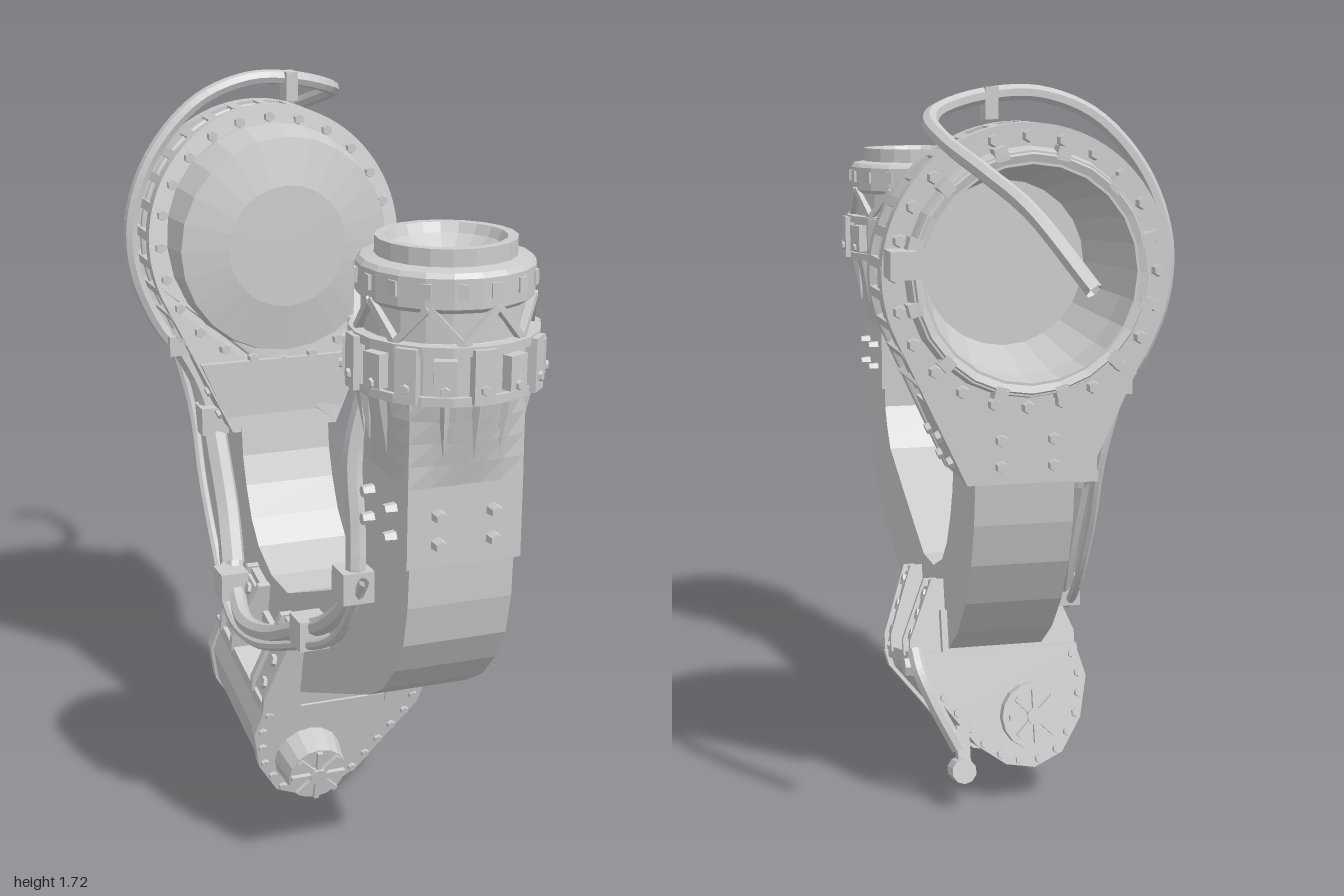
import * as THREE from 'three';

const mat = new THREE.MeshStandardMaterial({ color: 0xcccccc, flatShading: true, side: THREE.DoubleSide });
const CX = 0.015; // centre plane of the arm
const V = (x, y, z) => new THREE.Vector3(x, y, z);
const P = a => a.map(p => new THREE.Vector2(p[0], p[1]));

function add(parent, name, geo, x = 0, y = 0, z = 0) {
  const m = new THREE.Mesh(geo, mat);
  m.name = name;
  m.position.set(x, y, z);
  parent.add(m);
  return m;
}
function group(parent, name, x = 0, y = 0, z = 0) {
  const g = new THREE.Group();
  g.name = name;
  g.position.set(x, y, z);
  parent.add(g);
  return g;
}
const box = (parent, name, w, h, d, x, y, z) => add(parent, name, new THREE.BoxGeometry(w, h, d), x, y, z);
const extrude = (shape, depth) => new THREE.ExtrudeGeometry(shape, { depth, bevelEnabled: false, curveSegments: 28 });

// Hexagonal bolt head pointing along dir
function bolt(parent, pos, dir, r = 0.016, h = 0.03) {
  const m = add(parent, 'bolt', new THREE.CylinderGeometry(r * 0.8, r, h, 6), pos.x, pos.y, pos.z);
  m.quaternion.setFromUnitVectors(V(0, 1, 0), dir.clone().normalize());
}
function hose(parent, name, pts, r) {
  const curve = new THREE.CatmullRomCurve3(pts.map(p => V(...p)));
  add(parent, name, new THREE.TubeGeometry(curve, pts.length * 5, r, 7, false));
}

// Curved box-section arm, drawn in the (z, y) plane
function buildArm(root) {
  const outline = P([[0.91, 0.9], [0.905, 0.8], [0.885, 0.71], [0.84, 0.635], [0.78, 0.57], [0.7, 0.52], [0.27, 0.335],
    [0.18, 0.32], [0.08, 0.32], [-0.02, 0.35], [-0.12, 0.385], [-0.22, 0.455], [-0.3, 0.545], [-0.36, 0.65], [-0.39, 0.75],
    [-0.405, 0.87], [-0.18, 0.87], [-0.17, 0.79], [-0.145, 0.72], [-0.105, 0.645], [-0.05, 0.59], [0.05, 0.55], [0.17, 0.55],
    [0.4, 0.645], [0.61, 0.735], [0.655, 0.79], [0.68, 0.84], [0.68, 0.9]]);
  const arm = add(root, 'arm', extrude(new THREE.Shape(outline), 0.23), CX + 0.115);
  arm.rotation.y = -Math.PI / 2;
}

// Square-to-round loft between two heights
function squareToRound(h, r, y0, y1, n = 24, rows = 4) {
  const pos = [], idx = [];
  for (let j = 0; j <= rows; j++) for (let i = 0; i < n; i++) {
    const a = i / n * Math.PI * 2, c = Math.cos(a), s = Math.sin(a), t = j / rows;
    const rad = THREE.MathUtils.lerp(h / Math.max(Math.abs(c), Math.abs(s)), r, t);
    pos.push(rad * c, THREE.MathUtils.lerp(y0, y1, t), rad * s);
  }
  for (let j = 0; j < rows; j++) for (let i = 0; i < n; i++) {
    const a = j * n + i, b = j * n + (i + 1) % n;
    idx.push(a, a + n, b, b, a + n, b + n);
  }
  const g = new THREE.BufferGeometry();
  g.setAttribute('position', new THREE.Float32BufferAttribute(pos, 3));
  g.setIndex(idx);
  g.computeVertexNormals();
  return g;
}

function buildFrontHead(root) {
  const g = group(root, 'frontHead', CX, 0, 0.795);
  box(g, 'collar', 0.25, 0.17, 0.25, 0, 0.975, 0);
  add(g, 'neck', squareToRound(0.125, 0.175, 1.06, 1.25));
  add(g, 'cup', new THREE.LatheGeometry(P([[0.165, 1.23], [0.182, 1.25], [0.182, 1.345], [0.168, 1.36], [0.168, 1.42],
    [0.18, 1.43], [0.18, 1.49], [0.172, 1.5], [0.143, 1.505], [0.143, 1.54], [0.122, 1.54], [0.112, 1.52], [0, 1.43]]), 20));
  for (const y of [1.25, 1.35])
    add(g, 'ringRim', new THREE.CylinderGeometry(0.193, 0.193, 0.018, 20), 0, y, 0);
  // Collar bolts on all four sides
  for (let k = 0; k < 4; k++) for (const u of [-0.06, 0.06]) for (const y of [0.94, 1.0]) {
    const a = k * Math.PI / 2, d = V(Math.sin(a), 0, Math.cos(a));
    bolt(g, V(d.x * 0.135 + d.z * u, y, d.z * 0.135 - d.x * u), d);
  }
  // Lugs, pointed ribs and zigzag braces around the cup
  const n = 16;
  for (let i = 0; i < n; i++) {
    const s = group(g, 'cupSegment');
    s.rotation.y = i / n * Math.PI * 2;
    box(s, 'lug', 0.045, i % 2 ? 0.07 : 0.11, 0.026, 0, 1.3, 0.19);
    bolt(s, V(0, 1.275, 0.203), V(0, 0, 1), 0.012, 0.014);
    const rib = add(s, 'rib', new THREE.ConeGeometry(0.014, 0.13, 4), 0, 1.185, 0.163);
    rib.rotation.x = Math.PI + 0.1;
    const brace = box(s, 'brace', 0.014, 0.1, 0.018, 0, 1.395, 0.172);
    brace.rotation.z = i % 2 ? 0.75 : -0.75;
    box(s, 'bandClip', 0.022, 0.03, 0.016, 0.03, 1.465, 0.173);
  }
}

// Teardrop outline: round top, straight flanks down to the collar
function teardrop(R, w, hole) {
  const s = new THREE.Shape();
  s.moveTo(w, -0.47);
  s.lineTo(R * Math.cos(0.42), -R * Math.sin(0.42));
  s.absarc(0, 0, R, -0.42, Math.PI + 0.42, false);
  s.lineTo(-w, -0.47);
  if (hole) s.holes.push(new THREE.Path().absarc(0, 0, hole, 0, Math.PI * 2, true));
  return s;
}
const slope = y => Math.min(-0.18, -0.245 - 0.17 * y); // leaning front face

function buildRearHead(root) {
  const g = group(root, 'rearHead', CX, 1.32, 0);
  const dish = add(g, 'dish', new THREE.LatheGeometry(P([[0, -0.2], [0.19, -0.2], [0.232, -0.38], [0.238, -0.46],
    [0.268, -0.46], [0.28, -0.4], [0.285, -0.27], [0.265, -0.175], [0.15, -0.155], [0, -0.155]]), 24));
  dish.rotation.x = Math.PI / 2;

  const plate = extrude(teardrop(0.325, 0.137, 0.265), 0.03);
  const core = extrude(teardrop(0.29, 0.12, 0.262), 1);
  const pp = plate.attributes.position, cp = core.attributes.position;
  for (let i = 0; i < pp.count; i++) pp.setZ(i, pp.getZ(i) - 0.03 + slope(pp.getY(i)));
  for (let i = 0; i < cp.count; i++) cp.setZ(i, cp.getZ(i) > 0.5 ? slope(cp.getY(i)) - 0.01 : -0.4);
  for (const geo of [plate, core]) geo.computeVertexNormals();
  add(g, 'frontPlate', plate);
  add(g, 'core', core);
  add(g, 'backPlate', extrude(teardrop(0.325, 0.137, 0.255), 0.035), 0, 0, -0.42);
  const collar = new THREE.Shape(P([[0.136, -0.468], [0.215, -0.29], [-0.215, -0.29], [-0.136, -0.468]]));
  add(g, 'collar', extrude(collar, 0.22), 0, 0, -0.405);
  add(g, 'backRim', new THREE.TorusGeometry(0.255, 0.016, 5, 24), 0, 0, -0.45);

  // Ladder ribs spanning the gap between the plates
  for (const p of teardrop(0.308, 0.13).getSpacedPoints(30)) {
    if (p.y < -0.27) continue;
    const f = slope(p.y), d = f + 0.4;
    box(g, 'rib', 0.034, 0.022, d, p.x, p.y, f - d / 2 - 0.01).rotation.z = Math.atan2(p.y, p.x);
  }
  const band = teardrop(0.312, 0.13).getSpacedPoints(60).filter(p => p.y > -0.28 && p.y > -0.46);
  hose(g, 'middleBand', band.map(p => [p.x, p.y, (slope(p.y) - 0.4) / 2 - 0.02]), 0.009);
  // Bolt circles and drum cleats
  for (let i = 0; i < 24; i++) {
    const a = i / 24 * Math.PI * 2, c = Math.cos(a), s = Math.sin(a);
    bolt(g, V(0.297 * c, 0.297 * s, slope(0.297 * s)), V(0, 0, 1), 0.016, 0.02);
    bolt(g, V(0.297 * c, 0.297 * s, -0.428), V(0, 0, -1), 0.016, 0.024);
    if (i % 2) box(g, 'cleat', 0.03, 0.03, 0.04, 0.268 * c, 0.268 * s, -0.445).rotation.z = a;
  }
  for (const s of [-1, 1]) for (const [y, x] of [[-0.43, 0.155], [-0.37, 0.182]]) {
    for (const z of [-0.23, -0.34]) bolt(g, V(s * x, y, z), V(s * 0.92, -0.4, 0), 0.016, 0.02);
    bolt(g, V(s * 0.06, y, -0.422), V(0, 0, -1));
  }
  box(g, 'connector', 0.06, 0.06, 0.09, 0.29, 0.03, -0.455);
  box(g, 'hoseClip', 0.03, 0.07, 0.05, 0.065, 0.365, -0.33);
}

// Tilted drive unit with a saddle that grips the arm
function buildDrive(root) {
  const g = group(root, 'driveUnit', CX, 0.31, 0.04);
  g.rotation.x = 0.23;
  const outline = P([[-0.2, 0.02], [-0.22, -0.05], [-0.2, -0.15], [-0.15, -0.23], [-0.08, -0.262], [-0.01, -0.25],
    [0.06, -0.2], [0.12, -0.12], [0.2, -0.02], [0.21, 0.02]]);
  const body = add(g, 'housing', extrude(new THREE.Shape(outline), 0.36), -0.004, -0.004, -0.17);
  body.scale.set(0.95, 0.95, 1);
  for (const z of [-0.185, 0.175]) add(g, 'endFlange', extrude(new THREE.Shape(outline), 0.026), 0, 0, z);
  for (const p of new THREE.Shape(outline).getSpacedPoints(14)) for (const s of [-1, 1])
    bolt(g, V(p.x * 0.9 - 0.006, p.y * 0.9 - 0.012, s * 0.192 + 0.008), V(0, 0, s), 0.012, 0.02);

  // Motors at both ends with radial fins
  for (const [s, len, r] of [[1, 0.085, 0.085], [-1, 0.03, 0.08]]) {
    const m = group(g, s > 0 ? 'frontMotor' : 'rearMotor', -0.078, -0.135, s * 0.19);
    const can = new THREE.CylinderGeometry(r * (s > 0 ? 0.85 : 1), r, len, 16);
    add(m, 'motorCan', can, 0, 0, s * len / 2).rotation.x = Math.PI / 2;
    add(m, 'motorHub', new THREE.CylinderGeometry(0.022, 0.022, 0.02, 10), 0, 0, s * (len + 0.006)).rotation.x = Math.PI / 2;
    for (let i = 0; i < 8; i++) {
      const a = i / 8 * Math.PI * 2;
      box(m, 'fin', r * 0.6, 0.013, 0.016, Math.cos(a) * r * 0.5, Math.sin(a) * r * 0.5, s * (len + 0.003)).rotation.z = a;
    }
  }
  // Side valve at the rear corner
  add(g, 'valve', new THREE.CylinderGeometry(0.03, 0.03, 0.06, 10), 0.1, -0.255, -0.18).rotation.x = Math.PI / 2;
  box(g, 'valveStem', 0.03, 0.1, 0.03, 0.095, -0.2, -0.18);
  hose(g, 'valvePipe', [[0.11, -0.2, -0.2], [0.16, -0.1, -0.21], [0.195, -0.01, -0.205], [0.2, 0.04, -0.18]], 0.018);
  bolt(g, V(0.205, 0, -0.165), V(1, 0, 0), 0.028, 0.04);

  // Saddle plates and braced columns
  box(g, 'saddleBase', 0.4, 0.03, 0.38, 0, 0.015, 0);
  box(g, 'saddleCradle', 0.26, 0.12, 0.37, 0, 0.07, 0.01);
  for (const s of [-1, 1]) for (const [z, h] of [[0.155, 0.235], [-0.1, 0.205]]) {
    const c = group(g, 'column', 0, 0, z);
    const fin = new THREE.Shape(P([[0.11, 0], [0.205, 0.02], [0.205, 0.06], [0.145, h], [0.11, h]]));
    for (const dz of [-0.052, 0.037]) {
      const geo = extrude(fin, 0.015);
      if (s < 0) geo.rotateY(Math.PI).translate(0, 0, 0.015);
      add(c, 'columnFin', geo, 0, 0, dz);
    }
    box(c, 'columnPlate', 0.02, h - 0.01, 0.09, s * 0.125, h / 2, 0);
    const web = box(c, 'columnWeb', 0.012, h - 0.05, 0.08, s * 0.163, h * 0.54, 0);
    web.rotation.z = s * 0.31;
    for (let i = 0; i < 3; i++) bolt(c, V(s * (0.184 - i * 0.018), 0.07 + i * (h - 0.11) / 2, 0), V(s, 0.3, 0), 0.018, 0.024);
  }
}

// Hoses running along the right side and around the rear head
function buildHoses(root) {
  const g = group(root, 'hoses');
  hose(g, 'armHose', [[-0.1, 1.2, 0.67], [-0.13, 1.06, 0.67], [-0.13, 0.9, 0.69], [-0.135, 0.76, 0.69], [-0.14, 0.64, 0.56],
    [-0.155, 0.56, 0.4], [-0.175, 0.49, 0.25], [-0.185, 0.46, 0.1], [-0.165, 0.48, -0.03], [-0.14, 0.57, -0.14],
    [-0.135, 0.7, -0.23], [-0.14, 0.84, -0.29], [-0.17, 0.95, -0.31], [-0.215, 1.04, -0.32]], 0.022);
  hose(g, 'thinHose', [[-0.13, 0.8, 0.74], [-0.145, 0.63, 0.62], [-0.17, 0.53, 0.42], [-0.195, 0.45, 0.2], [-0.195, 0.44, 0.02],
    [-0.175, 0.53, -0.16], [-0.18, 0.7, -0.26], [-0.185, 0.87, -0.32], [-0.22, 1.03, -0.34]], 0.012);
  hose(g, 'rearHose', [[-0.215, 1.03, -0.32], [-0.275, 1.12, -0.33], [-0.325, 1.25, -0.33], [-0.33, 1.38, -0.33], [-0.275, 1.53, -0.33],
    [-0.16, 1.655, -0.33], [-0.03, 1.705, -0.33], [0.1, 1.7, -0.34], [0.195, 1.675, -0.37], [0.24, 1.65, -0.46],
    [0.235, 1.61, -0.6], [0.19, 1.555, -0.76], [0.13, 1.49, -0.87], [0.035, 1.345, -0.99]], 0.018);
  // Thick sleeve, clamps and fittings
  hose(g, 'hoseSleeve', [[-0.15, 0.53, -0.11], [-0.137, 0.64, -0.19], [-0.14, 0.82, -0.28]], 0.032);
  for (const [x, y, z] of [[-0.135, 0.78, 0.69], [-0.15, 0.58, 0.46], [-0.17, 0.5, -0.06], [-0.145, 0.86, -0.29]])
    box(g, 'hoseClamp', 0.07, 0.07, 0.07, x, y, z);
  box(g, 'hoseEnd', 0.05, 0.05, 0.06, -0.225, 1.055, -0.32);
}

export function createModel() {
  const root = new THREE.Group();
  root.name = 'jointedArm';
  buildArm(root);
  buildFrontHead(root);
  buildRearHead(root);
  buildDrive(root);
  buildHoses(root);
  return root;
}
